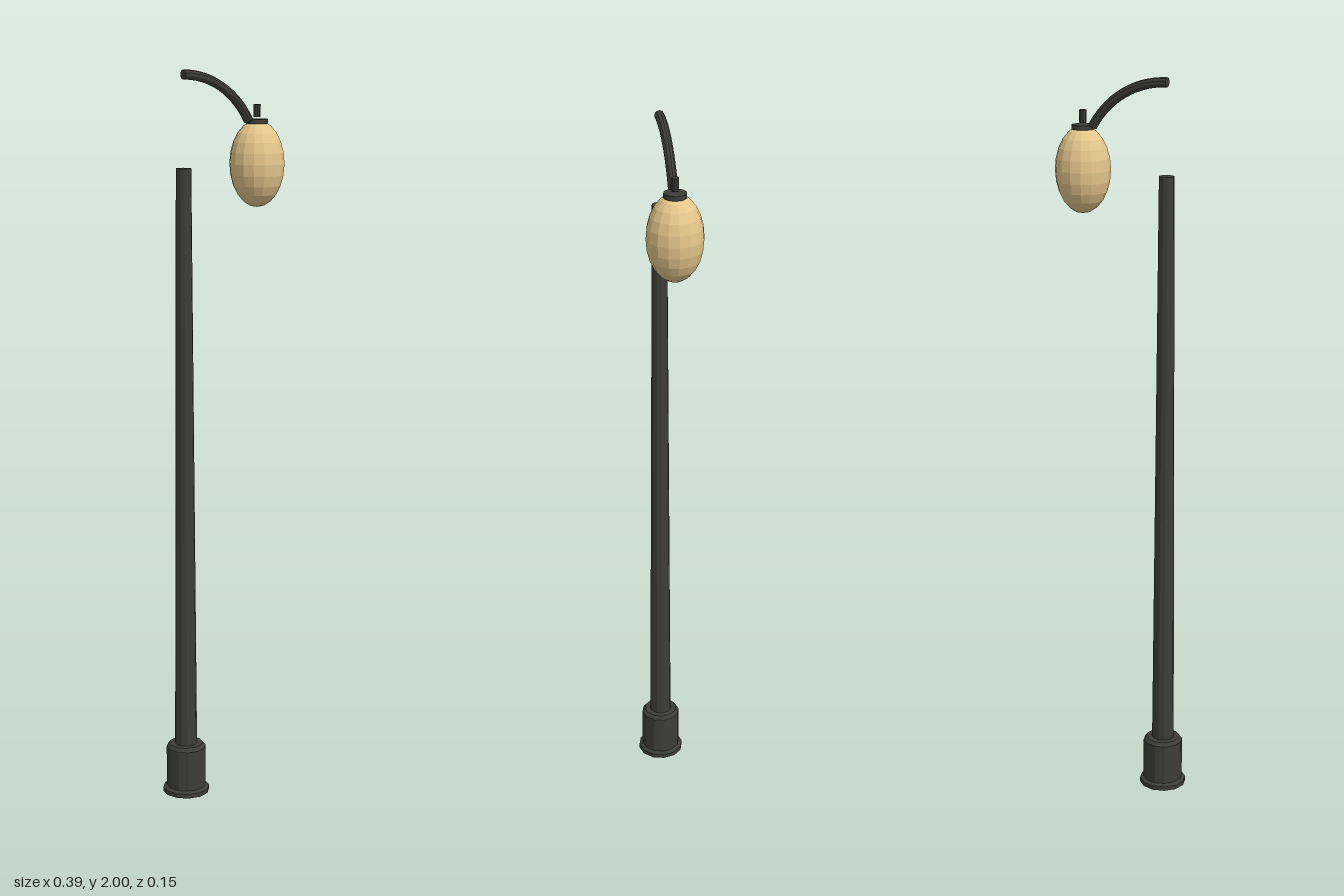
import * as THREE from 'three';

const iron = new THREE.MeshStandardMaterial({ color: 0x3d3d38, flatShading: true });
const glass = new THREE.MeshStandardMaterial({ color: 0xe6c78c, flatShading: true });

const POLE_X = -0.129;
const LAMP_X = 0.117;

export function createModel() {
  const model = new THREE.Group();
  model.name = 'streetLamp';

  const add = (parent, name, geometry, material, x = 0, y = 0) => {
    const mesh = new THREE.Mesh(geometry, material);
    mesh.name = name;
    mesh.position.set(x, y, 0);
    parent.add(mesh);
    return mesh;
  };
  const lathe = (points, sides) =>
    new THREE.LatheGeometry(points.map(([r, y]) => new THREE.Vector2(r, y)), sides);

  // Flanged foot with a bevelled shoulder
  add(model, 'base', lathe([
    [0, 0], [0.065, 0], [0.065, 0.012], [0.055, 0.018], [0.055, 0.132],
    [0.047, 0.142], [0.028, 0.142],
  ], 12), iron, POLE_X);

  // Tapered pole
  add(model, 'pole', lathe([
    [0.031, 0.13], [0.0205, 1.745], [0, 1.745],
  ], 12), iron, POLE_X);

  // Curved arm: a sixth of a ring, closed at both ends
  const arm = new THREE.Group();
  arm.name = 'arm';
  arm.position.set(POLE_X, 1.737, 0);
  model.add(arm);
  const R = 0.25, r = 0.013, start = Math.PI / 6, sweep = Math.PI / 3;
  add(arm, 'armTube', new THREE.TorusGeometry(R, r, 10, 14, sweep), iron).rotation.z = start;
  for (const [angle, turn] of [[start, Math.PI / 2], [start + sweep, -Math.PI / 2]]) {
    const end = add(arm, 'armEnd', new THREE.CircleGeometry(r, 10), iron,
      R * Math.cos(angle), R * Math.sin(angle));
    end.rotation.set(turn, angle, 0, 'ZXY');
    end.rotation.set(turn, 0, angle, 'ZXY');
  }

  // Hanging lamp: egg-shaped globe, cap disc and finial
  const lamp = new THREE.Group();
  lamp.name = 'lamp';
  lamp.position.x = LAMP_X;
  model.add(lamp);
  const globe = new THREE.SphereGeometry(0.075, 16, 12);
  globe.scale(1, 1.56, 1);
  add(lamp, 'globe', globe, glass, 0, 1.746);
  add(lamp, 'cap', new THREE.CylinderGeometry(0.03, 0.03, 0.012, 16), iron, 0, 1.859);
  add(lamp, 'finial', new THREE.CylinderGeometry(0.01, 0.01, 0.034, 10), iron, 0, 1.887);

  return model;
}
